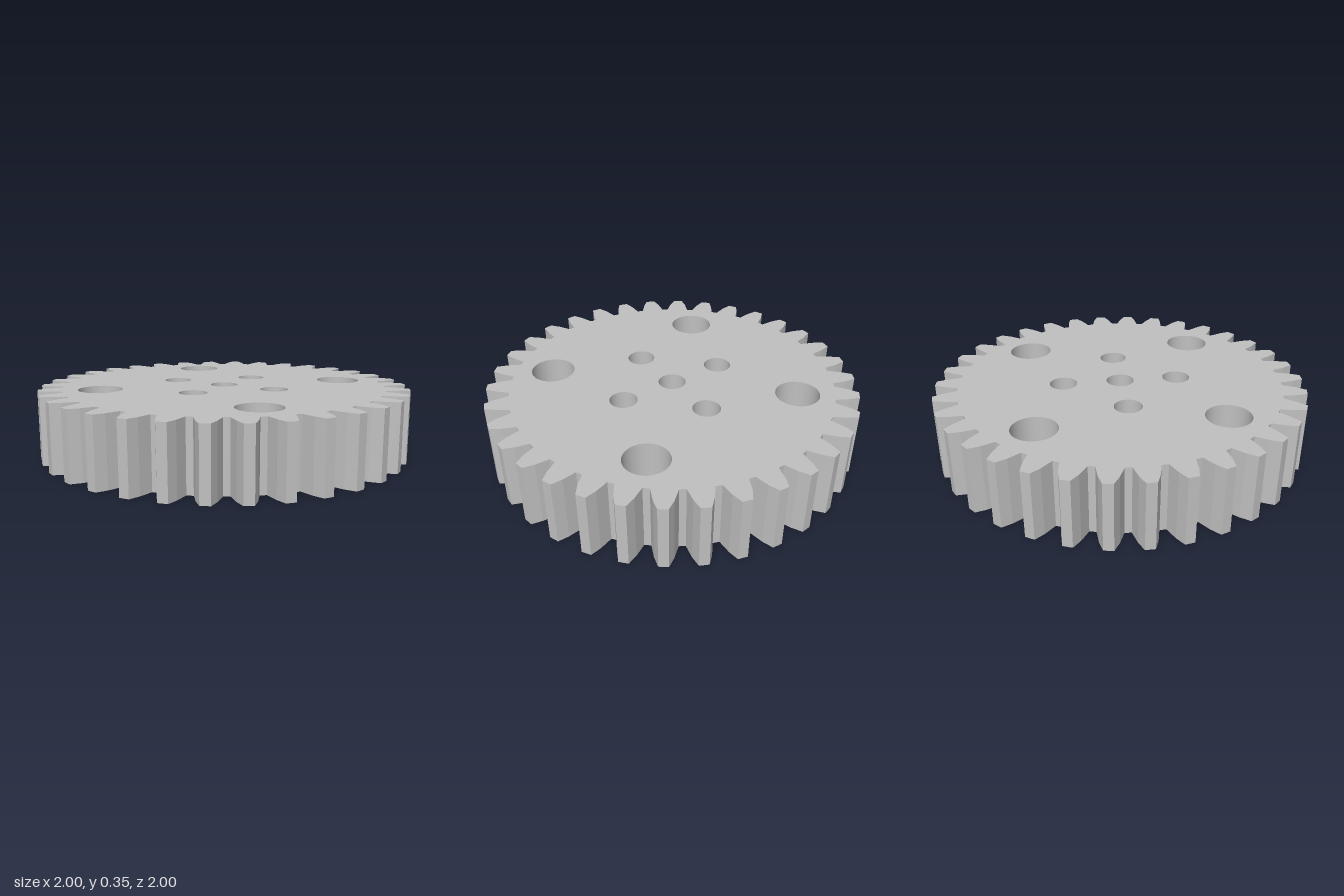
import * as THREE from 'three';

const HEIGHT = 0.355, WEB_BOTTOM = 0.132, RECESS_RADIUS = 0.469, TEETH = 34, SEGMENTS = 64;

// Holes: hub pattern through the thin web, larger ones through the full rim
const hubHoles = [[0, 0], [0.31, 0], [-0.31, 0], [0, 0.31], [0, -0.31]].map(([x, z]) => ({ x, z, r: 0.074 }));
const rimHoles = [[1, 1], [1, -1], [-1, 1], [-1, -1]].map(([x, z]) => ({ x: x * 0.478, z: z * 0.478, r: 0.118 }));

// One tooth as [radius, sideways offset], repeated around the wheel
const tooth = [[0.872, -0.064], [0.945, -0.047], [1, -0.025], [1, 0.025], [0.945, 0.047], [0.872, 0.064]];

function gearOutline() {
  const points = [];
  for (let i = 0; i < TEETH; i++) {
    const a = (i / TEETH) * Math.PI * 2, c = Math.cos(a), s = Math.sin(a);
    for (const [r, t] of tooth) points.push(new THREE.Vector2(r * c - t * s, r * s + t * c));
  }
  return points;
}

function circle(PathType, { x, z, r }) {
  const path = new PathType();
  path.absarc(x, z, r, 0, Math.PI * 2, false);
  return path;
}

// Flat face at height y, facing up or down
function face(shape, holes, y, up) {
  shape.holes = holes.map((h) => circle(THREE.Path, h));
  const g = new THREE.ShapeGeometry(shape, SEGMENTS / 2);
  g.rotateX(up ? -Math.PI / 2 : Math.PI / 2);
  return g.translate(0, y, 0);
}

// Upright faceted wall following the tooth outline
function toothWall(outline) {
  const v = [];
  outline.forEach((a, i) => {
    const b = outline[(i + 1) % outline.length];
    v.push(a.x, 0, -a.y, b.x, 0, -b.y, b.x, HEIGHT, -b.y);
    v.push(a.x, 0, -a.y, b.x, HEIGHT, -b.y, a.x, HEIGHT, -a.y);
  });
  const g = new THREE.BufferGeometry();
  g.setAttribute('position', new THREE.Float32BufferAttribute(v, 3));
  g.computeVertexNormals();
  return g;
}

// Smooth round wall facing inward
function bore({ x, z, r }, y0, y1) {
  const profile = [new THREE.Vector2(r, y1), new THREE.Vector2(r, y0)];
  return new THREE.LatheGeometry(profile, SEGMENTS).translate(x, 0, z);
}

export function createModel() {
  const gear = new THREE.Group();
  gear.name = 'gearWheel';
  const grey = new THREE.MeshStandardMaterial({ color: 0xc0c0c0, side: THREE.DoubleSide });
  grey.name = 'grey';
  const add = (name, geometry) => {
    const mesh = new THREE.Mesh(geometry, grey);
    mesh.name = name;
    gear.add(mesh);
  };

  const outline = gearOutline();
  const recess = { x: 0, z: 0, r: RECESS_RADIUS };

  // Toothed body
  add('teeth', toothWall(outline));
  add('topFace', face(new THREE.Shape(outline), [...hubHoles, ...rimHoles], HEIGHT, true));
  add('rimUnderside', face(new THREE.Shape(outline), [recess, ...rimHoles], 0, false));

  // Round recess underneath
  add('recessWall', bore(recess, 0, WEB_BOTTOM));
  add('webUnderside', face(circle(THREE.Shape, recess), hubHoles, WEB_BOTTOM, false));

  // Hole walls
  hubHoles.forEach((h) => add('hubHole', bore(h, WEB_BOTTOM, HEIGHT)));
  rimHoles.forEach((h) => add('rimHole', bore(h, 0, HEIGHT)));
  return gear;
}
